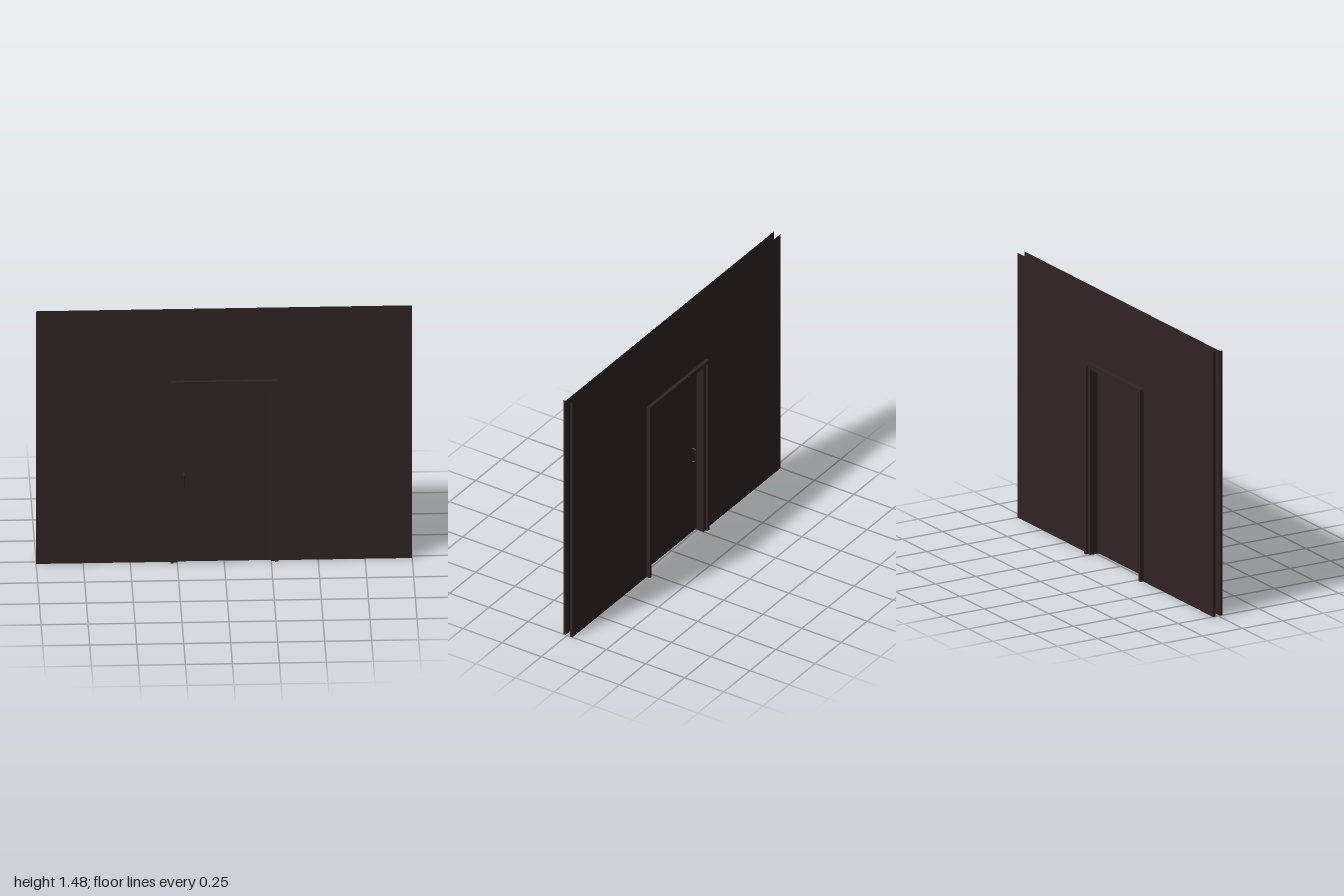
import * as THREE from 'three';

const brown = new THREE.MeshStandardMaterial({ color: 0x2e2423 });
brown.name = 'dark brown';

const WALL_H = 1.48;
const OUT_X = 0.287, OUT_Y = 1.075; // outer edge of the door frame
const MID_X = 0.27, MID_Y = 1.057;  // inner edge of the casing
const IN_X = 0.25, IN_Y = 1.038;    // clear opening

function add(group, geometry, name) {
  const mesh = new THREE.Mesh(geometry, brown);
  mesh.name = name;
  group.add(mesh);
  return mesh;
}

// Upside-down U outline standing on the floor, extruded between two depths
function portal(ox, oy, ix, iy, z0, z1) {
  const points = [[-ox, 0], [-ix, 0], [-ix, iy], [ix, iy], [ix, 0], [ox, 0], [ox, oy], [-ox, oy]];
  const shape = new THREE.Shape(points.map(([x, y]) => new THREE.Vector2(x, y)));
  const geometry = new THREE.ExtrudeGeometry(shape, { depth: z1 - z0, bevelEnabled: false });
  return geometry.translate(0, 0, z0);
}

// Drop the upward faces: the wall linings are open along the top
function openTop(geometry) {
  const pos = geometry.getAttribute('position');
  const nor = geometry.getAttribute('normal');
  const keepPos = [], keepNor = [];
  for (let i = 0; i < pos.count; i += 3) {
    if (nor.getY(i) > 0.5) continue;
    for (let k = i; k < i + 3; k++) {
      keepPos.push(pos.getX(k), pos.getY(k), pos.getZ(k));
      keepNor.push(nor.getX(k), nor.getY(k), nor.getZ(k));
    }
  }
  const result = new THREE.BufferGeometry();
  result.setAttribute('position', new THREE.Float32BufferAttribute(keepPos, 3));
  result.setAttribute('normal', new THREE.Float32BufferAttribute(keepNor, 3));
  return result;
}

// Rounded C-shaped pull; side is +1 for the front, -1 for the back
function handleGeometry(z, reach, side) {
  const tip = z + side * reach, r = 0.008;
  const v = (y, d) => new THREE.Vector3(-0.214, y, d);
  const path = new THREE.CurvePath();
  const y0 = 0.45, y1 = 0.53;
  path.add(new THREE.LineCurve3(v(y0, z), v(y0, tip - side * r)));
  path.add(new THREE.QuadraticBezierCurve3(v(y0, tip - side * r), v(y0, tip), v(y0 + r, tip)));
  path.add(new THREE.LineCurve3(v(y0 + r, tip), v(y1 - r, tip)));
  path.add(new THREE.QuadraticBezierCurve3(v(y1 - r, tip), v(y1, tip), v(y1, tip - side * r)));
  path.add(new THREE.LineCurve3(v(y1, tip - side * r), v(y1, z)));
  return new THREE.TubeGeometry(path, 40, 0.004, 8, false);
}

export function createModel() {
  const model = new THREE.Group();
  model.name = 'wallWithDoor';

  // Two separate wall linings with a hollow between them
  add(model, openTop(portal(1, WALL_H, OUT_X - 0.01, OUT_Y - 0.01, 0.01, 0.025)), 'frontWallLining');
  add(model, openTop(portal(1, WALL_H, OUT_X - 0.01, OUT_Y - 0.01, -0.033, -0.018)), 'backWallLining');

  // Door frame: casing through the wall and a slimmer jamb inside it
  const frame = new THREE.Group();
  frame.name = 'doorFrame';
  add(frame, portal(OUT_X, OUT_Y, MID_X, MID_Y, -0.053, 0.044), 'casing');
  add(frame, portal(MID_X, MID_Y, IN_X, IN_Y, -0.04, 0.036), 'jamb');
  model.add(frame);

  // Door leaf, set close to the front
  const leafH = IN_Y - 0.005;
  add(model, new THREE.BoxGeometry(IN_X * 2, leafH, 0.024), 'doorLeaf')
    .position.set(0, 0.005 + leafH / 2, 0.019);

  // Pull handles on both faces
  add(model, handleGeometry(0.03, 0.02, 1), 'frontHandle');
  add(model, handleGeometry(0.008, 0.02, -1), 'backHandle');

  return model;
}
